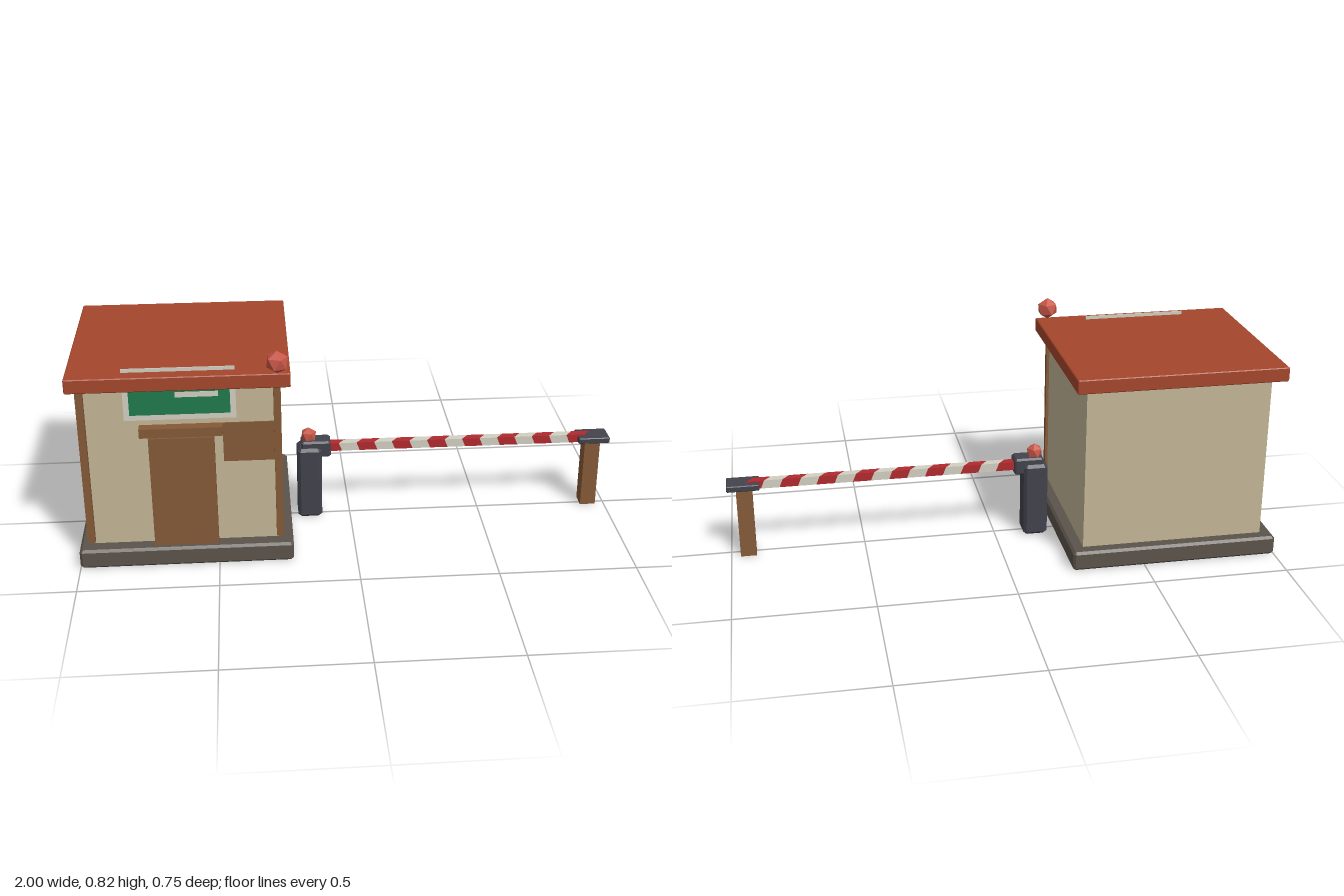
import * as THREE from 'three';

const mat = (name, color) => {
  const m = new THREE.MeshStandardMaterial({ color });
  m.name = name;
  return m;
};

export function createModel() {
  const roofRed = mat('roof red', 0xa4462c);
  const plaster = mat('plaster', 0xc4b797);
  const wood = mat('wood', 0x855a38);
  const stone = mat('stone', 0x5b544b);
  const metal = mat('dark metal', 0x42434c);
  const lampRed = mat('lamp red', 0xc85748);
  const white = mat('off white', 0xd2cfc2);
  const stripeRed = mat('stripe red', 0xb02a2e);
  const green = mat('sign green', 0x1f7a4c);

  const model = new THREE.Group();
  model.name = 'gatehouse';

  const add = (name, geometry, material, parent) => {
    const mesh = new THREE.Mesh(geometry, material);
    mesh.name = name;
    parent.add(mesh);
    return mesh;
  };

  // Box given by its limits on each axis
  const box = (name, material, parent, [x0, x1], [y0, y1], [z0, z1]) => {
    const g = new THREE.BoxGeometry(x1 - x0, y1 - y0, z1 - z0);
    g.translate((x0 + x1) / 2, (y0 + y1) / 2, (z0 + z1) / 2);
    return add(name, g, material, parent);
  };

  // Box by limits with chamfered edges
  const chamferBox = (name, material, parent, [x0, x1], [y0, y1], [z0, z1], c) => {
    const w = (x1 - x0) / 2, d = (z1 - z0) / 2;
    const s = new THREE.Shape([
      [-w + c, -d], [w - c, -d], [w, -d + c], [w, d - c],
      [w - c, d], [-w + c, d], [-w, d - c], [-w, -d + c],
    ].map(([x, z]) => new THREE.Vector2(x, z)));
    const g = new THREE.ExtrudeGeometry(s, {
      depth: y1 - y0 - 2 * c, bevelEnabled: true, bevelSegments: 1,
      bevelSize: c, bevelThickness: c, bevelOffset: -c,
    });
    g.rotateX(-Math.PI / 2);
    g.translate((x0 + x1) / 2, y0 + c, (z0 + z1) / 2);
    return add(name, g, material, parent);
  };

  // Faceted lamp with a corner pointing up
  const lamp = (name, parent, r, x, y, z) => {
    const g = new THREE.IcosahedronGeometry(r, 0);
    g.rotateX(-Math.atan((1 + Math.sqrt(5)) / 2));
    g.rotateY(Math.PI / 2);
    add(name, g, lampRed, parent).position.set(x, y, z);
  };

  // Booth
  const booth = new THREE.Group();
  booth.name = 'booth';
  model.add(booth);
  chamferBox('base', stone, booth, [-1, -0.23], [0, 0.073], [-0.372, 0.351], 0.009);
  box('walls', plaster, booth, [-0.955, -0.275], [0.07, 0.682], [-0.326, 0.295]);
  chamferBox('roof', roofRed, booth, [-1, -0.23], [0.69, 0.742], [-0.372, 0.351], 0.003);
  for (const x of [-0.957, -0.277]) {
    box('cornerPost', wood, booth, [x - 0.013, x + 0.013], [0.087, 0.692], [0.293, 0.317]);
  }
  box('door', wood, booth, [-0.73, -0.5], [0.072, 0.5], [0.294, 0.329]);
  box('lintel', wood, booth, [-0.76, -0.47], [0.506, 0.54], [0.294, 0.334]);
  box('hatch', wood, booth, [-0.47, -0.28], [0.39, 0.54], [0.294, 0.301]);
  lamp('roofLamp', booth, 0.0415, -0.275, 0.782, 0.341);

  // Plain sign above the door
  const sign = new THREE.Group();
  sign.name = 'sign';
  booth.add(sign);
  box('signBoard', white, sign, [-0.81, -0.42], [0.56, 0.755], [0.296, 0.3]);
  box('signPanel', green, sign, [-0.79, -0.44], [0.58, 0.735], [0.299, 0.302]);
  box('signStripe', white, sign, [-0.63, -0.48], [0.645, 0.665], [0.301, 0.303]);

  // Barrier machine
  const barrier = new THREE.Group();
  barrier.name = 'barrier';
  model.add(barrier);
  chamferBox('cabinet', metal, barrier, [-0.2, -0.108], [0, 0.29], [-0.057, 0.038], 0.011);
  chamferBox('armHolder', metal, barrier, [-0.185, -0.073], [0.25, 0.315], [-0.045, 0.026], 0.007);
  lamp('barrierLamp', barrier, 0.0315, -0.155, 0.33, -0.01);

  // Arm made of slanted segments, alternating red and white
  const arm = new THREE.Group();
  arm.name = 'arm';
  barrier.add(arm);
  const h = 0.032, pitch = 0.0675, start = -0.09, end = 0.92;
  for (let i = 0; start + i * pitch < end; i++) {
    const x0 = start + i * pitch;
    const x1 = Math.min(x0 + pitch, end);
    const g = new THREE.BoxGeometry(x1 - x0, h, h);
    const p = g.attributes.position;
    for (let k = 0; k < p.count; k++) {
      p.setX(k, p.getX(k) - 0.4 * p.getY(k) - 0.8 * p.getZ(k));
    }
    g.computeVertexNormals();
    g.translate((x0 + x1) / 2, 0.282, -0.011);
    add(i % 2 ? 'whiteSegment' : 'redSegment', g, i % 2 ? white : stripeRed, arm);
  }

  // Rest for the arm's free end
  const rest = new THREE.Group();
  rest.name = 'armRest';
  barrier.add(rest);
  box('restPost', wood, rest, [0.907, 0.966], [0, 0.273], [-0.041, 0.019]);
  chamferBox('restPlate', metal, rest, [0.88, 1], [0.27, 0.293], [-0.054, 0.032], 0.003);

  return model;
}
